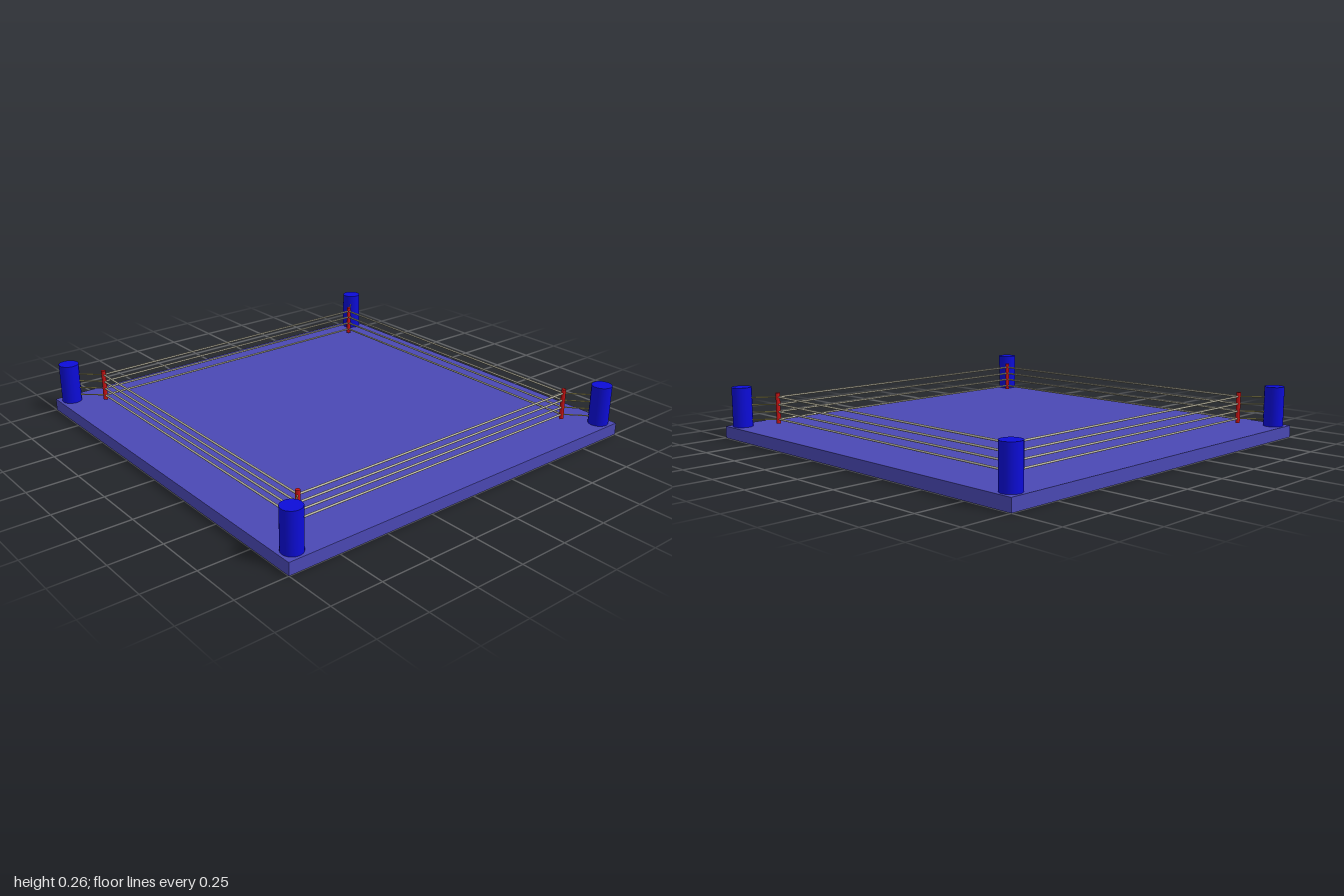
import * as THREE from 'three';

const paint = (color) => new THREE.MeshStandardMaterial({ color });
const BLUE = paint(0x0c0cd8), MAT = paint(0x4a48b4), RED = paint(0xcc1414);
const ROPE = paint(0xb8b4a0), TIE = paint(0xd2c878);

const DECK = 0.06;      // top of the platform
const POST = 0.938;     // post centre offset on x and z
const CORNER = 0.812;   // rope corner offset on x and z
const ROPE_HEIGHTS = [0.095, 0.133, 0.17, 0.207];

function part(name, geometry, material, x = 0, y = 0, z = 0) {
  const mesh = new THREE.Mesh(geometry, material);
  mesh.name = name;
  mesh.position.set(x, y, z);
  return mesh;
}

// Straight round bar between two points
function bar(name, a, b, radius, material) {
  const dir = b.clone().sub(a);
  const mesh = part(name, new THREE.CylinderGeometry(radius, radius, dir.length(), 10), material);
  mesh.position.copy(a).add(b).multiplyScalar(0.5);
  mesh.quaternion.setFromUnitVectors(new THREE.Vector3(0, 1, 0), dir.normalize());
  return mesh;
}

export function createModel() {
  const ring = new THREE.Group();
  ring.name = 'boxingRing';

  // Platform
  ring.add(part('platform', new THREE.BoxGeometry(2, DECK, 2), MAT, 0, DECK / 2, 0));

  const corners = [[1, 1], [1, -1], [-1, -1], [-1, 1]];
  const postGeometry = new THREE.CylinderGeometry(0.049, 0.049, 0.198, 32);
  const padGeometry = new THREE.CylinderGeometry(0.011, 0.011, 0.155, 16);

  corners.forEach(([sx, sz], i) => {
    // Corner post and the slim pad where the ropes turn
    ring.add(part('cornerPost', postGeometry, BLUE, sx * POST, DECK + 0.099, sz * POST));
    ring.add(part('cornerPad', padGeometry, RED, sx * CORNER, 0.151, sz * CORNER));

    const [nx, nz] = corners[(i + 1) % 4];
    for (const y of ROPE_HEIGHTS) {
      const here = new THREE.Vector3(sx * CORNER, y, sz * CORNER);
      const next = new THREE.Vector3(nx * CORNER, y, nz * CORNER);
      const post = new THREE.Vector3(sx * POST, y - 0.003, sz * POST);
      // Side rope, and the tie back to the post
      ring.add(bar('rope', here, next, 0.005, ROPE));
      ring.add(bar('ropeTie', here, post, 0.003, TIE));
    }
  });

  return ring;
}
